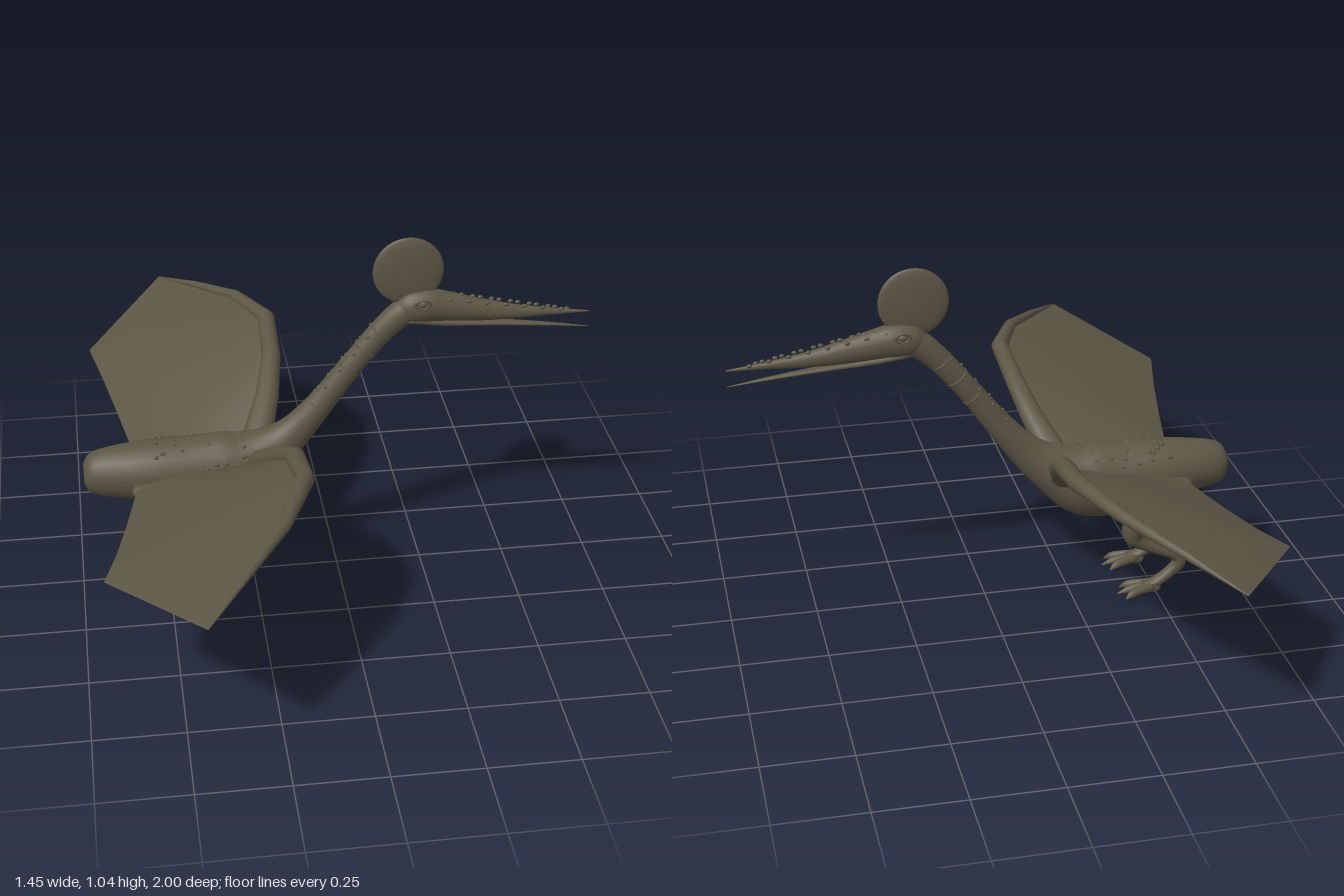
import * as THREE from 'three';
import { mergeGeometries } from 'three/addons/utils/BufferGeometryUtils.js';

const hide = new THREE.MeshStandardMaterial({ color: 0x5c5644, side: THREE.DoubleSide });
hide.name = 'olive hide';

// Tapered limb: sections are [x, y, z, half height, half width]
function loft(sections, steps = 4, sides = 16, ref = new THREE.Vector3(0, 0, 1)) {
  const path = new THREE.CatmullRomCurve3(sections.map(s => new THREE.Vector3(s[0], s[1], s[2])), false, 'catmullrom', 0.5);
  const size = new THREE.CatmullRomCurve3(sections.map(s => new THREE.Vector3(s[3], s[4], 0)), false, 'catmullrom', 0.5);
  const n = (sections.length - 1) * steps, pos = [], idx = [];
  for (let i = 0; i <= n; i++) {
    const c = path.getPoint(i / n), r = size.getPoint(i / n), t = path.getTangent(i / n);
    const up = ref.clone().cross(t).normalize(), side = t.clone().cross(up);
    for (let j = 0; j < sides; j++) {
      const a = j / sides * Math.PI * 2;
      const p = c.clone().addScaledVector(up, r.x * Math.cos(a)).addScaledVector(side, r.y * Math.sin(a));
      pos.push(p.x, p.y, p.z);
      if (i < n) {
        const k = (j + 1) % sides, A = i * sides + j, B = i * sides + k;
        idx.push(A, B, A + sides, B, B + sides, A + sides);
      }
    }
  }
  // End caps
  for (const i of [0, n]) {
    const c = path.getPoint(i / n), m = pos.length / 3;
    pos.push(c.x, c.y, c.z);
    for (let j = 0; j < sides; j++) {
      const A = i * sides + j, B = i * sides + (j + 1) % sides;
      i ? idx.push(m, A, B) : idx.push(m, B, A);
    }
  }
  const g = new THREE.BufferGeometry();
  g.setAttribute('position', new THREE.Float32BufferAttribute(pos, 3));
  g.setIndex(idx);
  g.computeVertexNormals();
  return g;
}

function ball(x, y, z, rx, ry = rx, rz = rx, w = 8, h = 6) {
  return new THREE.SphereGeometry(1, w, h).scale(rx, ry, rz).translate(x, y, z);
}

// Membrane: straight ribs from the leading edge to the trailing edge
function membrane(s) {
  const lead = [[-0.24, 0.38, 0.05], [-0.19, 0.46, 0.15], [-0.155, 0.55, 0.3], [-0.155, 0.59, 0.48], [-0.22, 0.575, 0.67], [-0.45, 0.5, 1]];
  const trail = [[-0.575, 0.358, 0.06], [-0.595, 0.367, 0.18], [-0.62, 0.38, 0.32], [-0.655, 0.402, 0.5], [-0.69, 0.425, 0.65], [-0.45, 0.5, 1]];
  const pos = [], idx = [], n = 6;
  lead.forEach((L, i) => {
    for (let j = 0; j <= n; j++) {
      const u = j / n, T = trail[i];
      const bulge = i === 5 ? 0 : 0.012 * Math.sin(u * Math.PI);
      pos.push(L[0] + (T[0] - L[0]) * u, L[1] + (T[1] - L[1]) * u + bulge, s * (L[2] + (T[2] - L[2]) * u));
      if (i < 5 && j < n) {
        const A = i * (n + 1) + j, B = A + n + 1;
        s > 0 ? idx.push(A, A + 1, B, A + 1, B + 1, B) : idx.push(A, B, A + 1, A + 1, B, B + 1);
      }
    }
  });
  const g = new THREE.BufferGeometry();
  g.setAttribute('position', new THREE.Float32BufferAttribute(pos, 3));
  g.setIndex(idx);
  g.computeVertexNormals();
  return g;
}

export function createModel() {
  const root = new THREE.Group();
  root.name = 'flyingReptile';
  const add = (name, geo, parent = root) => {
    const m = new THREE.Mesh(geo, hide);
    m.name = name;
    parent.add(m);
    return m;
  };
  let seed = 7;
  const rand = () => (seed = (seed * 16807) % 2147483647) / 2147483647;

  // Trunk and neck in one sweep
  add('bodyAndNeck', loft([
    [-0.728, 0.365, 0, 0.03, 0.03], [-0.7, 0.365, 0, 0.064, 0.055], [-0.6, 0.365, 0, 0.082, 0.078],
    [-0.5, 0.36, 0, 0.096, 0.087], [-0.38, 0.345, 0, 0.115, 0.088], [-0.29, 0.355, 0, 0.112, 0.085],
    [-0.205, 0.395, 0, 0.078, 0.066], [-0.13, 0.45, 0, 0.053, 0.045], [-0.05, 0.54, 0, 0.04, 0.035],
    [0.05, 0.67, 0, 0.034, 0.031], [0.13, 0.765, 0, 0.036, 0.031], [0.19, 0.818, 0, 0.04, 0.035],
    [0.23, 0.83, 0, 0.04, 0.036]], 4, 24));

  // Head running into the upper bill
  add('headAndUpperBill', loft([
    [0.165, 0.825, 0, 0.02, 0.02], [0.2, 0.83, 0, 0.045, 0.038], [0.25, 0.834, 0, 0.05, 0.043], [0.3, 0.828, 0, 0.045, 0.036],
    [0.4, 0.811, 0, 0.034, 0.026], [0.5, 0.798, 0, 0.022, 0.017], [0.6, 0.791, 0, 0.012, 0.01],
    [0.722, 0.784, 0, 0.002, 0.002]], 4, 20));
  add('lowerBill', loft([
    [0.2, 0.8, 0, 0.016, 0.03], [0.3, 0.783, 0, 0.012, 0.027], [0.45, 0.768, 0, 0.008, 0.018],
    [0.6, 0.752, 0, 0.005, 0.009], [0.722, 0.736, 0, 0.001, 0.002]], 3, 12));
  add('crest', ball(0.2, 0.942, 0, 0.1, 0.1, 0.015, 36, 20));

  // Creases round the neck
  for (const [x, y] of [[0.035, 0.65], [0.08, 0.708], [0.125, 0.76]]) {
    const ring = add('neckFold', new THREE.TorusGeometry(0.033, 0.003, 6, 24).rotateY(Math.PI / 2));
    ring.position.set(x, y, 0);
    ring.rotation.z = 0.9;
  }

  // Warts on the bill, neck and back
  const warts = [];
  for (let i = 0; i < 22; i++) {
    const x = 0.28 + i * 0.018, k = 1 - i / 24;
    const a = (i % 3 - 1) * 0.75;
    warts.push(ball(x, 0.83 - (x - 0.3) * 0.11 + 0.042 * k * Math.cos(a), 0.036 * k * Math.sin(a), 0.008, 0.006, 0.005));
  }
  for (let i = 0; i < 50; i++) {
    const x = -0.66 + rand() * 0.42, a = (rand() - 0.5) * 2.8;
    const f = Math.min(1, (x + 0.8) / 0.25);
    warts.push(ball(x, 0.36 + 0.095 * f * Math.cos(a), 0.086 * f * Math.sin(a), 0.008, 0.006, 0.006, 6, 5));
  }
  for (let i = 0; i < 16; i++) {
    const u = i / 15, a = (i % 3 - 1) * 0.7;
    warts.push(ball(-0.08 + u * 0.2 - 0.027 * Math.cos(a), 0.505 + u * 0.25 + 0.022 * Math.cos(a), 0.034 * Math.sin(a), 0.005, 0.006, 0.005, 6, 5));
  }
  add('warts', mergeGeometries(warts));

  for (const s of [1, -1]) {
    const label = s > 0 ? 'left' : 'right';

    // Eye with its lid ring
    add(label + 'Eye', ball(0.237, 0.853, s * 0.037, 0.013, 0.01, 0.008, 12, 8));
    add(label + 'Eyelid', new THREE.TorusGeometry(0.016, 0.005, 6, 18).scale(1.25, 0.8, 1).translate(0.237, 0.853, s * 0.038));

    // Wing: arm along the leading edge and a thin membrane
    const wing = new THREE.Group();
    wing.name = label + 'Wing';
    root.add(wing);
    add(label + 'WingArm', loft([
      [-0.235, 0.375, s * 0.03, 0.035, 0.045], [-0.215, 0.42, s * 0.09, 0.034, 0.042],
      [-0.18, 0.485, s * 0.18, 0.03, 0.034], [-0.155, 0.55, s * 0.3, 0.027, 0.028],
      [-0.15, 0.586, s * 0.48, 0.024, 0.026], [-0.225, 0.573, s * 0.67, 0.018, 0.019],
      [-0.34, 0.54, s * 0.84, 0.011, 0.012], [-0.45, 0.5, s * 0.998, 0.002, 0.002]], 1, 12, new THREE.Vector3(1, 0, 0)), wing);
    add(label + 'WingMembrane', membrane(s), wing);

    // Leg: thigh, shin, ankle and foot
    const leg = new THREE.Group();
    leg.name = label + 'Leg';
    root.add(leg);
    add(label + 'Thigh', loft([
      [-0.59, 0.355, s * 0.085, 0.012, 0.02], [-0.54, 0.335, s * 0.1, 0.038, 0.045],
      [-0.48, 0.3, s * 0.105, 0.052, 0.048], [-0.435, 0.245, s * 0.1, 0.042, 0.04],
      [-0.425, 0.2, s * 0.095, 0.032, 0.03], [-0.45, 0.172, s * 0.09, 0.024, 0.026],
      [-0.51, 0.14, s * 0.088, 0.019, 0.022], [-0.56, 0.115, s * 0.088, 0.02, 0.02],
      [-0.57, 0.09, s * 0.088, 0.021, 0.02], [-0.545, 0.062, s * 0.088, 0.017, 0.018],
      [-0.5, 0.032, s * 0.09, 0.016, 0.02], [-0.46, 0.02, s * 0.09, 0.014, 0.022]], 4, 14), leg);
    add(label + 'Heel', ball(-0.49, 0.016, s * 0.09, 0.026, 0.016, 0.024, 12, 8), leg);
    for (const d of [-1, 0, 1]) {
      const z = s * 0.09 + d * 0.012, reach = d ? -0.4 : -0.384;
      add(label + 'Toe', loft([
        [-0.49, 0.022, z, 0.015, 0.012], [-0.45, 0.02, z + d * 0.01, 0.013, 0.011],
        [-0.42, 0.014, z + d * 0.018, 0.012, 0.01], [reach, 0.003, z + d * 0.026, 0.002, 0.002]], 3, 8), leg);
    }
  }
  return root;
}
